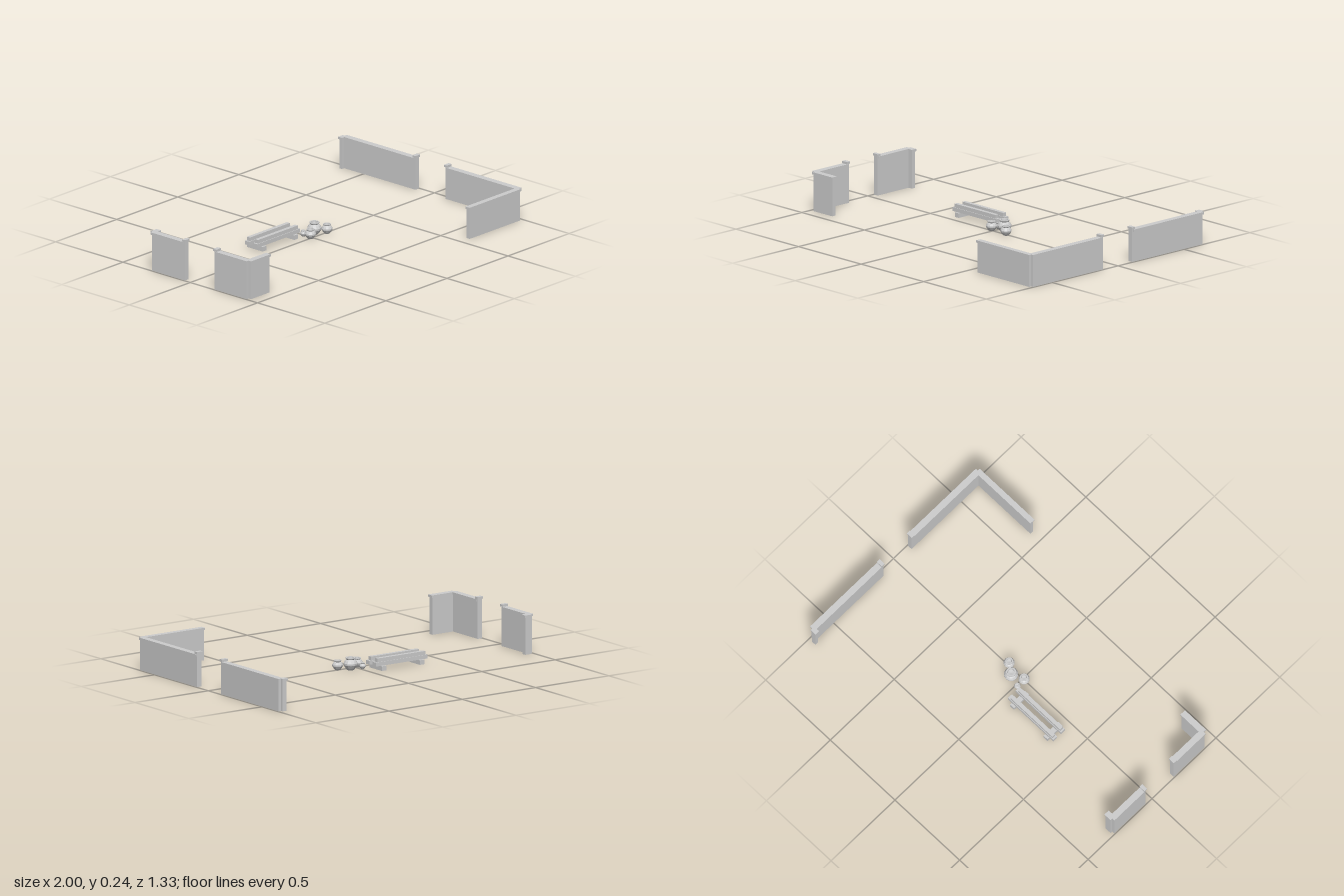
import * as THREE from 'three';

const stone = new THREE.MeshStandardMaterial({ color: 0xcccccc });
stone.name = 'lightGrey';
stone.flatShading = true;

// Box given by its minimum and maximum corners
function box(parent, name, [x0, y0, z0], [x1, y1, z1]) {
  const mesh = new THREE.Mesh(new THREE.BoxGeometry(x1 - x0, y1 - y0, z1 - z0), stone);
  mesh.position.set((x0 + x1) / 2, (y0 + y1) / 2, (z0 + z1) / 2);
  mesh.name = name;
  parent.add(mesh);
}

// Wall run: slightly inset body under an overhanging coping
function wall(parent, name, x0, x1, z0, z1, height) {
  const group = new THREE.Group();
  const inset = 0.005, cap = 0.013;
  group.name = name;
  box(group, 'wallBody', [x0 + inset, 0, z0 + inset], [x1 - inset, height - cap, z1 - inset]);
  box(group, 'wallCoping', [x0, height - cap, z0], [x1, height, z1]);
  parent.add(group);
}

// Round pot with a belly, a neck and an open mouth
function pot(parent, x, z, r, h) {
  const profile = [
    [0, 0], [0.5, 0], [0.72, 0.16], [0.98, 0.4], [1, 0.55], [0.8, 0.74],
    [0.58, 0.84], [0.7, 0.92], [0.7, 1], [0.5, 1], [0.45, 0.84], [0, 0.8],
  ].map(([a, b]) => new THREE.Vector2(a * r, b * h));
  const mesh = new THREE.Mesh(new THREE.LatheGeometry(profile, 12), stone);
  mesh.position.set(x, 0, z);
  mesh.name = 'pot';
  parent.add(mesh);
}

export function createModel() {
  const model = new THREE.Group();
  model.name = 'courtyard';

  // Low walls on the +x side, with end posts at the gateway
  const low = 0.184, lowPost = 0.199;
  wall(model, 'leftFrontWall', 0.963, 1, 0.115, 0.645, low);
  wall(model, 'leftFrontPost', 0.962, 1, 0.105, 0.128, lowPost);
  wall(model, 'frontWall', 0.561, 0.985, 0.628, 0.66, low);
  wall(model, 'leftBackWall', 0.963, 1, -0.652, -0.12, low);
  wall(model, 'leftBackPost', 0.962, 1, -0.13, -0.107, lowPost);
  wall(model, 'leftBackCorner', 0.945, 0.982, -0.666, -0.637, low);

  // Taller short walls on the -x side
  const tall = 0.223, tallPost = 0.237;
  wall(model, 'rightFrontWall', -1, -0.963, 0.18, 0.42, tall);
  wall(model, 'rightFrontPost', -1, -0.962, 0.17, 0.194, tallPost);
  wall(model, 'rightFrontReturn', -0.984, -0.822, 0.402, 0.438, tall);
  wall(model, 'rightBackWall', -1, -0.963, -0.295, -0.05, tall);
  wall(model, 'rightBackPost', -1, -0.962, -0.06, -0.039, tallPost);
  wall(model, 'rightBackReturn', -0.984, -0.936, -0.308, -0.274, tall);

  // Bench: two stepped beams on two cross feet
  const bench = new THREE.Group();
  bench.name = 'bench';
  for (const z of [-0.135, -0.075]) {
    box(bench, 'benchBeam', [-0.385, 0.026, z - 0.015], [-0.034, 0.048, z + 0.015]);
    box(bench, 'benchBeamTop', [-0.374, 0.048, z - 0.011], [-0.048, 0.069, z + 0.011]);
  }
  for (const x of [-0.339, -0.08]) {
    box(bench, 'benchFoot', [x - 0.015, 0, -0.164], [x + 0.015, 0.026, -0.048]);
  }
  model.add(bench);

  // Cluster of pots beside the bench
  const pots = new THREE.Group();
  pots.name = 'pots';
  pot(pots, 0.055, -0.035, 0.04, 0.07);
  pot(pots, -0.013, -0.003, 0.032, 0.054);
  pot(pots, 0.112, 0.007, 0.031, 0.054);
  pot(pots, -0.013, -0.055, 0.018, 0.034);
  model.add(pots);

  return model;
}
